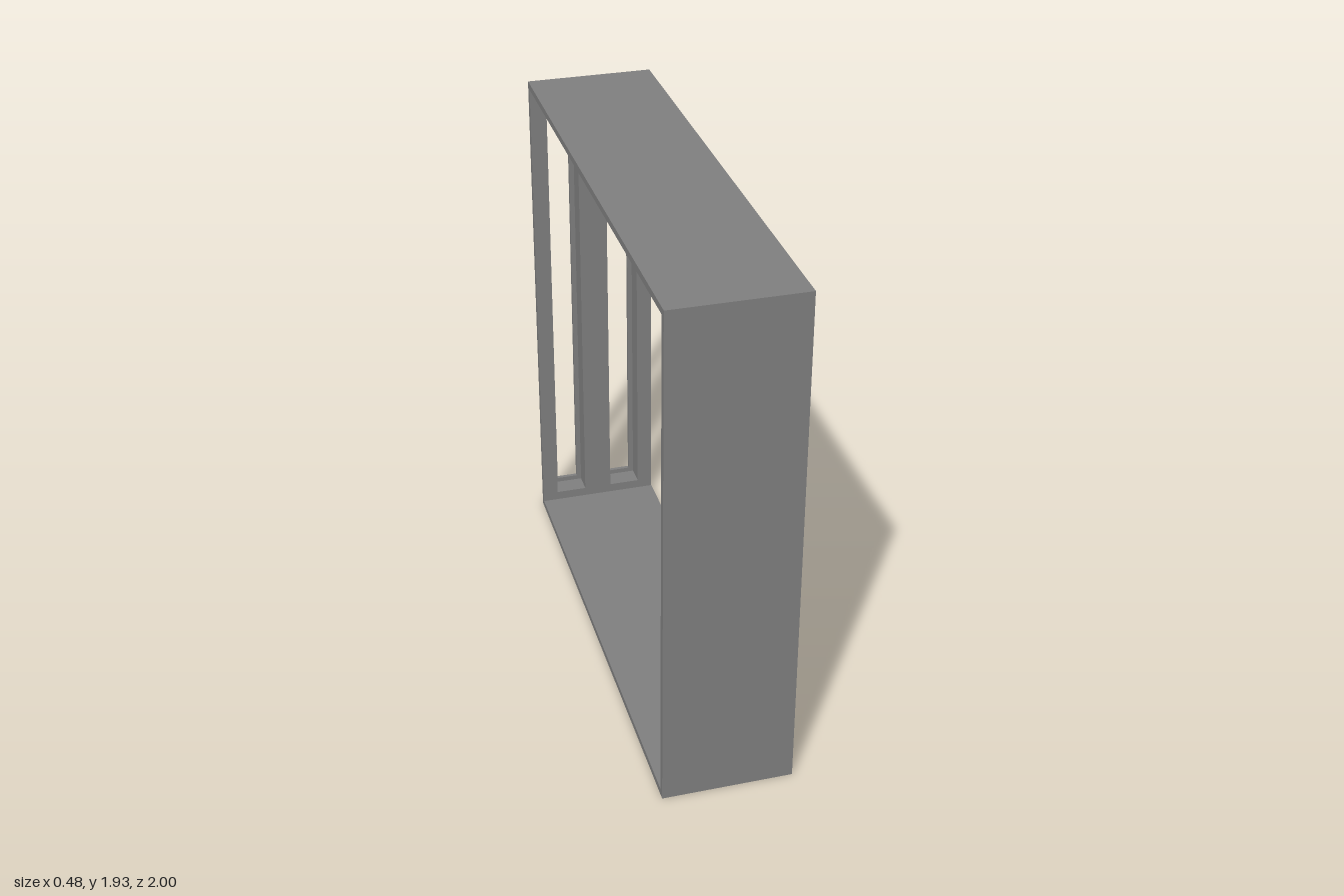
import * as THREE from 'three';

const W = 0.48, H = 1.935, T = 0.025; // depth across x, height, board thickness
const FRONT = 1, BACK = -0.93;
const SLOT_X = 0.1175, SLOT_W = 0.135, SLOT_Y0 = 0.055, SLOT_Y1 = 1.88;

// Adds a rectangle outline to a shape or path
function rect(path, x0, y0, x1, y1) {
  path.moveTo(x0, y0);
  path.lineTo(x1, y0);
  path.lineTo(x1, y1);
  path.lineTo(x0, y1);
  path.closePath();
  return path;
}

// Extruded plate in the xy plane with rectangular holes, from z0 to z1
function plate(outer, holes, z0, z1) {
  const shape = rect(new THREE.Shape(), ...outer);
  for (const h of holes) shape.holes.push(rect(new THREE.Path(), ...h));
  return new THREE.ExtrudeGeometry(shape, { depth: z1 - z0, bevelEnabled: false }).translate(0, 0, z0);
}

// Slot outline, shrunk by an inset
const slot = (side, inset) => [
  side * SLOT_X - SLOT_W / 2 + inset, SLOT_Y0 + inset,
  side * SLOT_X + SLOT_W / 2 - inset, SLOT_Y1 - inset,
];

export function createModel() {
  const grey = new THREE.MeshStandardMaterial({ color: 0x808080 });
  grey.name = 'grey';
  const model = new THREE.Group();
  model.name = 'openFrame';

  const add = (name, geometry) => {
    const mesh = new THREE.Mesh(geometry, grey);
    mesh.name = name;
    model.add(mesh);
    return mesh;
  };

  // Top and bottom boards
  const length = FRONT - BACK;
  for (const [name, y] of [['bottomBoard', T / 2], ['topBoard', H - T / 2]]) {
    add(name, new THREE.BoxGeometry(W, T, length)).position.set(0, y, (FRONT + BACK) / 2);
  }

  // Front board
  add('frontBoard', new THREE.BoxGeometry(W, H - 2 * T, T)).position.set(0, H / 2, FRONT - T / 2);

  // Back board with two tall slots
  const wall = 0.006;
  add('backBoard', plate([-W / 2, T, W / 2, H - T], [slot(-1, wall), slot(1, wall)], BACK, BACK + T));

  // Hollow collars around the slots, each closed by a narrow rim
  for (const [side, label] of [[-1, 'right'], [1, 'left']]) {
    add(label + 'SlotCollar', plate(slot(side, 0), [slot(side, wall)], -0.985, BACK));
    add(label + 'SlotRim', plate(slot(side, 0), [slot(side, T)], -1, -0.985));
  }
  return model;
}
